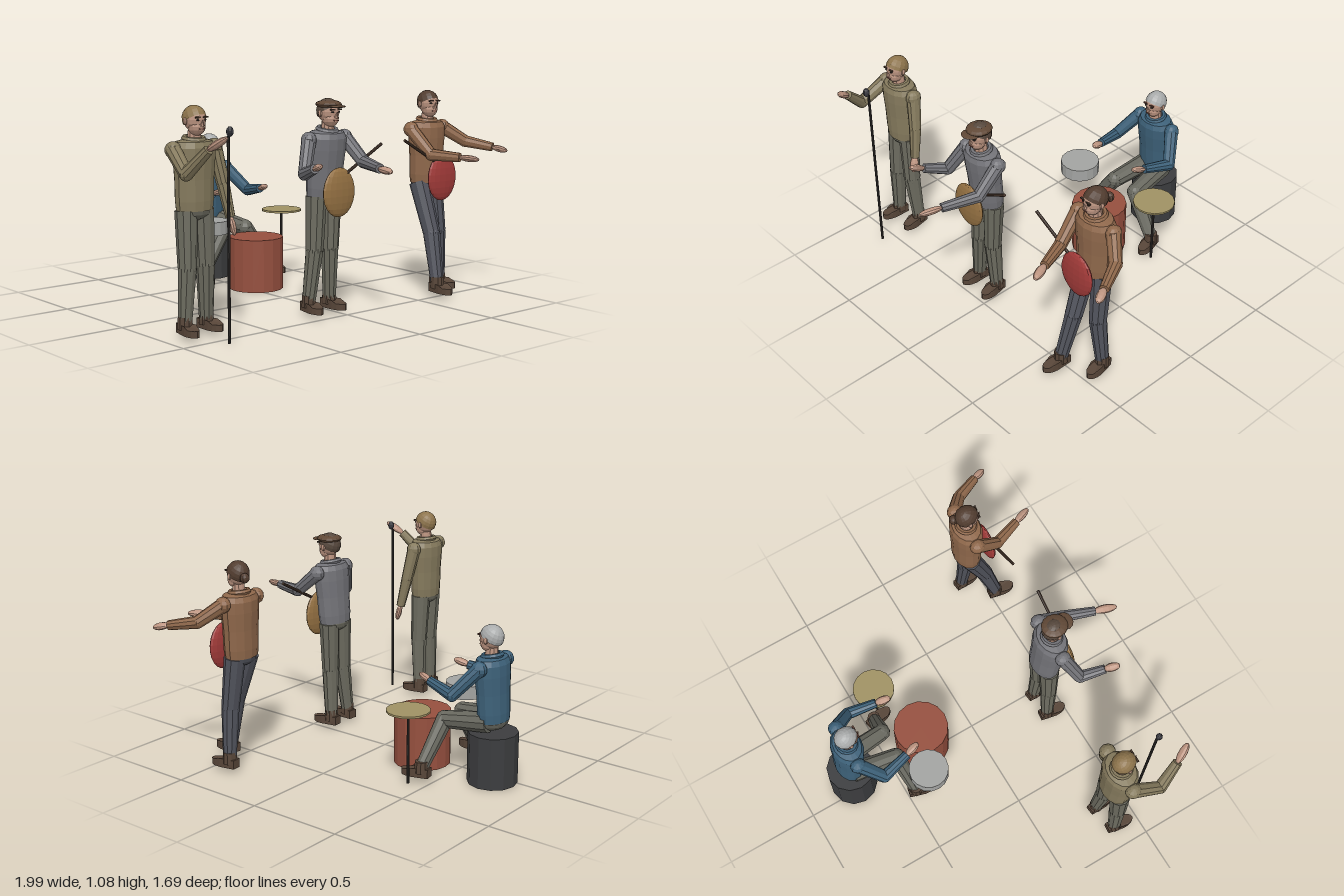
import * as THREE from 'three';

const V = (p) => new THREE.Vector3(...p);
const UP = new THREE.Vector3(0, 1, 0);
const mats = {};
const mat = (color) => (mats[color] ??= new THREE.MeshStandardMaterial({ color, flatShading: true }));

function add(parent, name, geo, color, pos = [0, 0, 0], scale = [1, 1, 1]) {
  const m = new THREE.Mesh(geo, mat(color));
  m.name = name;
  m.position.set(...pos);
  m.scale.set(...scale);
  parent.add(m);
  return m;
}

const ball = (parent, name, color, pos, size, seg = 12) =>
  add(parent, name, new THREE.SphereGeometry(1, seg, Math.round(seg * 0.7)), color, pos, size);

// Tapered tube between two points
function limb(parent, name, color, a, b, ra, rb, seg = 10) {
  const d = V(b).sub(V(a));
  const m = add(parent, name, new THREE.CylinderGeometry(rb, ra, d.length(), seg), color);
  m.position.copy(V(a)).addScaledVector(d, 0.5);
  m.quaternion.setFromUnitVectors(UP, d.normalize());
  return m;
}

// Head with face and hair; origin at the base of the neck, facing +z
function buildHead(o) {
  const head = new THREE.Group();
  head.name = 'head';
  add(head, 'neck', new THREE.CylinderGeometry(0.03, 0.034, 0.06, 10), o.skin, [0, 0.01, -0.005]);
  ball(head, 'skull', o.skin, [0, 0.088, 0], [0.05, 0.06, 0.058], 14);
  ball(head, 'jaw', o.skin, [0, 0.055, 0.014], [0.041, 0.043, 0.044]);
  const nose = add(head, 'nose', new THREE.ConeGeometry(0.011, 0.034, 6), o.skin, [0, 0.075, 0.061]);
  nose.rotation.x = 0.3;
  add(head, 'mouth', new THREE.BoxGeometry(0.028, 0.005, 0.006), 0x7d4f45, [0, 0.046, 0.056]);
  for (const s of [-1, 1]) {
    ball(head, 'ear', o.skin, [s * 0.052, 0.08, -0.002], [0.008, 0.017, 0.012], 8);
    ball(head, 'eye', 0x2c2622, [s * 0.02, 0.087, 0.051], [0.008, 0.005, 0.006], 8);
    add(head, 'eyebrow', new THREE.BoxGeometry(0.027, 0.007, 0.01), o.brow, [s * 0.021, 0.099, 0.053]);
  }
  // Hair shell, tipped back over the skull
  const shell = new THREE.SphereGeometry(1, 14, 6, 0, Math.PI * 2, 0, Math.PI * 0.54);
  const hair = add(head, 'hair', shell, o.hair, [0, 0.09, -0.004], [0.055, 0.062, 0.062]);
  hair.material = mat(o.hair).clone();
  hair.material.side = THREE.DoubleSide;
  hair.rotation.x = -0.5;
  if (o.cap) {
    ball(head, 'capCrown', o.cap, [0, 0.122, 0], [0.063, 0.022, 0.068], 14);
    ball(head, 'capVisor', o.cap, [0, 0.114, 0.058], [0.048, 0.007, 0.042]);
  }
  if (o.bun) ball(head, 'hairBun', o.hair, [0.012, 0.078, -0.072], [0.025, 0.025, 0.022], 10);
  return head;
}

function buildShoe(o, [x, y, z], turn) {
  const g = new THREE.Group();
  g.name = 'shoe';
  add(g, 'cuff', new THREE.CylinderGeometry(0.034, 0.037, 0.06, 10), o.shoe, [0, 0.005, 0]);
  // Rounded sole outline seen from above, raised into a shoe
  const s = new THREE.Shape();
  s.moveTo(-0.024, -0.042);
  s.lineTo(0.024, -0.042);
  s.lineTo(0.033, 0.045);
  s.quadraticCurveTo(0.03, 0.105, 0, 0.11);
  s.quadraticCurveTo(-0.03, 0.105, -0.033, 0.045);
  s.closePath();
  const geo = new THREE.ExtrudeGeometry(s, { depth: 0.046, bevelEnabled: false, curveSegments: 4 });
  geo.rotateX(Math.PI / 2);
  // Slope the upper down towards the toe
  const p = geo.attributes.position;
  for (let i = 0; i < p.count; i++) if (p.getY(i) > -0.01 && p.getZ(i) > 0.05) p.setY(i, -0.014);
  geo.computeVertexNormals();
  add(g, 'shoeBody', geo, o.shoe, [0, 0, 0]);
  g.position.set(x, y, z);
  g.rotation.y = turn;
  return g;
}

// Person: joints are given in world positions; side -1 is right, 1 is left
function buildPerson(o) {
  const g = new THREE.Group();
  g.name = o.name;
  const [hx, hy, hz] = o.hip;
  const lean = o.lean ?? 0;

  // Upper body, leaning about the hips
  const upper = new THREE.Group();
  upper.name = 'upperBody';
  upper.position.set(hx, hy, hz);
  upper.rotation.x = lean;
  const profile = [[0, -0.005], [0.094, -0.005], [0.099, 0.04], [0.101, 0.14], [0.108, 0.23],
    [0.108, 0.285], [0.094, 0.312], [0.05, 0.322], [0, 0.322]].map((p) => new THREE.Vector2(...p));
  add(upper, 'shirt', new THREE.LatheGeometry(profile, 14), o.shirt, [0, 0, 0], [1, 1, 0.74]);
  const collar = add(upper, 'collar', new THREE.TorusGeometry(0.045, 0.014, 6, 14), o.shirt, [0, 0.322, 0]);
  collar.rotation.x = Math.PI / 2 + 0.12;
  const head = buildHead(o);
  head.position.set(0, 0.325, 0.008);
  head.rotation.set(-lean, o.headTurn ?? 0, 0);
  upper.add(head);
  g.add(upper);

  ball(g, 'pelvis', o.pants, [hx, hy - 0.005, hz], [0.092, 0.05, 0.066]);
  [-1, 1].forEach((s, i) => {
    // Leg
    const hip = [hx + s * 0.048, hy - 0.005, hz];
    const [knee, ankle] = o.legs[i];
    limb(g, 'thigh', o.pants, hip, knee, 0.054, 0.045);
    ball(g, 'knee', o.pants, knee, [0.045, 0.045, 0.045], 10);
    limb(g, 'shin', o.pants, knee, ankle, 0.045, 0.034);
    g.add(buildShoe(o, ankle, s * (o.toeOut ?? 0.1)));
    // Arm
    const shoulder = [hx + s * 0.116, hy + Math.cos(lean) * 0.278, hz + Math.sin(lean) * 0.278];
    const [elbow, wrist, tip] = o.arms[i];
    ball(g, 'shoulder', o.shirt, shoulder, [0.038, 0.04, 0.042], 10);
    limb(g, 'upperArm', o.shirt, shoulder, elbow, 0.037, 0.032);
    ball(g, 'elbow', o.shirt, elbow, [0.032, 0.032, 0.032], 10);
    limb(g, 'forearm', o.shirt, elbow, wrist, 0.032, 0.024);
    const d = V(tip).sub(V(wrist));
    const hand = ball(g, 'hand', o.skin, [0, 0, 0], [0.023, d.length() * 0.58, 0.017], 10);
    hand.position.copy(V(wrist)).addScaledVector(d, 0.5);
    hand.quaternion.setFromUnitVectors(UP, d.normalize());
  });
  return g;
}

// Lens-shaped string instrument with a thin neck
function buildInstrument(name, color, centre, neckStart, neckEnd) {
  const g = new THREE.Group();
  g.name = name;
  ball(g, 'instrumentBody', color, centre, [0.102, 0.122, 0.027], 16);
  limb(g, 'instrumentNeck', 0x4a382d, neckStart, neckEnd, 0.008, 0.008, 8);
  return g;
}

export function createModel() {
  const root = new THREE.Group();
  root.name = 'band';
  const shoe = 0x584639, skin = 0xbd9581, khaki = 0x6c6b5f;

  root.add(buildPerson({
    name: 'singer', skin, shoe, shirt: 0x857a5d, pants: khaki, hair: 0x8d744c, brow: 0x453528,
    hip: [-0.817, 0.6, 0.345],
    legs: [[[-0.872, 0.33, 0.36], [-0.888, 0.07, 0.36]], [[-0.762, 0.33, 0.35], [-0.748, 0.07, 0.335]]],
    arms: [[[-0.967, 0.785, 0.49], [-0.925, 0.9, 0.6], [-0.885, 0.955, 0.675]],
      [[-0.672, 0.71, 0.37], [-0.652, 0.55, 0.4], [-0.645, 0.47, 0.42]]],
  }));
  root.add(buildPerson({
    name: 'firstGuitarist', skin, shoe, shirt: 0x737378, pants: khaki, hair: 0x57483d, brow: 0x3b2d25,
    cap: 0x604836, hip: [-0.068, 0.6, 0.395], lean: 0.08,
    legs: [[[-0.13, 0.33, 0.4], [-0.158, 0.07, 0.39]], [[-0.03, 0.33, 0.4], [-0.022, 0.07, 0.39]]],
    arms: [[[-0.265, 0.725, 0.48], [-0.305, 0.765, 0.6], [-0.33, 0.785, 0.665]],
      [[0.055, 0.765, 0.55], [-0.008, 0.755, 0.73], [-0.04, 0.75, 0.835]]],
  }));
  root.add(buildPerson({
    name: 'secondGuitarist', skin, shoe, shirt: 0x8f684b, pants: 0x51535c, hair: 0x523d30, brow: 0x3b2d25,
    bun: true, headTurn: -0.15, hip: [0.678, 0.6, 0.37],
    legs: [[[0.635, 0.335, 0.46], [0.615, 0.08, 0.525]], [[0.738, 0.33, 0.4], [0.765, 0.07, 0.39]]],
    arms: [[[0.58, 0.755, 0.5], [0.635, 0.75, 0.65], [0.67, 0.745, 0.74]],
      [[0.89, 0.8, 0.45], [0.955, 0.775, 0.585], [0.985, 0.76, 0.655]]],
  }));
  root.add(buildPerson({
    name: 'drummer', skin, shoe, shirt: 0x3d6179, pants: 0x67675e, hair: 0xa9abab, brow: 0x54352b,
    hip: [0.052, 0.33, -0.72], lean: 0.06, toeOut: 0.2,
    legs: [[[-0.025, 0.295, -0.48], [-0.175, 0.08, -0.455]], [[0.13, 0.295, -0.48], [0.285, 0.08, -0.455]]],
    arms: [[[-0.145, 0.48, -0.605], [-0.11, 0.51, -0.45], [-0.092, 0.53, -0.38]],
      [[0.25, 0.48, -0.605], [0.215, 0.51, -0.45], [0.197, 0.53, -0.38]]],
  }));

  root.add(buildInstrument('firstGuitar', 0x967243, [-0.07, 0.622, 0.51], [-0.04, 0.705, 0.515], [0.208, 0.84, 0.515]));
  root.add(buildInstrument('secondGuitar', 0xa23b39, [0.678, 0.628, 0.485], [0.64, 0.705, 0.485], [0.4, 0.84, 0.485]));

  // Drum kit and seat
  const kit = new THREE.Group();
  kit.name = 'drumKit';
  const drum = (name, color, r, y0, y1, x, z, seg = 16) =>
    add(kit, name, new THREE.CylinderGeometry(r, r, y1 - y0, seg), color, [x, (y0 + y1) / 2, z]);
  drum('largeDrum', 0x96503f, 0.146, 0, 0.282, 0.052, -0.285);
  drum('smallDrum', 0xa3a4a2, 0.104, 0.315, 0.385, -0.197, -0.378);
  drum('cymbal', 0xa09264, 0.11, 0.378, 0.388, 0.334, -0.408);
  drum('cymbalStand', 0x35322f, 0.007, 0, 0.385, 0.334, -0.408, 8);
  drum('seat', 0x3c3d3f, 0.126, 0, 0.265, 0.052, -0.717, 12);
  root.add(kit);

  // Microphone on its stand
  const mic = new THREE.Group();
  mic.name = 'microphoneStand';
  add(mic, 'standPole', new THREE.CylinderGeometry(0.007, 0.007, 0.95, 8), 0x33302e, [-0.787, 0.475, 0.563]);
  ball(mic, 'microphone', 0x3a3a40, [-0.787, 0.97, 0.575], [0.017, 0.024, 0.017], 10);
  root.add(mic);
  return root;
}
